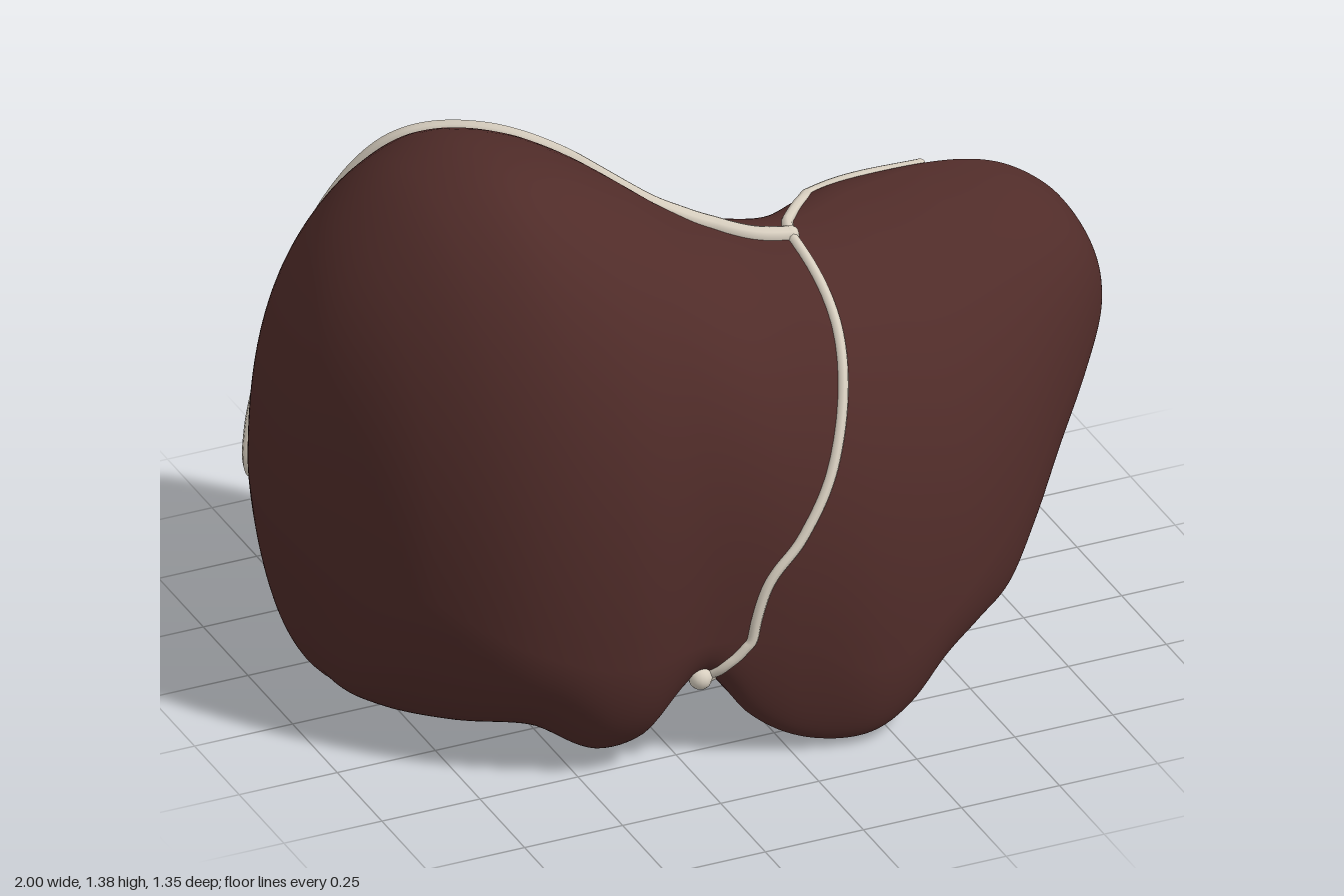
import * as THREE from 'three';
import { mergeVertices } from 'three/addons/utils/BufferGeometryUtils.js';

// Guide rails [x, y, z]: the outermost line of the body on each of its four sides
const bottom = [[-1, .55, -.1], [-.95, .25, -.1], [-.88, .06, -.09], [-.8, .01, -.06], [-.7, .03, .1],
  [-.57, .08, .32], [-.43, .03, .43], [-.35, .06, .47], [-.2, .23, .54], [-.1, .11, .57], [.1, .015, .61],
  [.2, .02, .62], [.3, .06, .595], [.4, .14, .555], [.5, .195, .525], [.6, .24, .48], [.7, .34, .4], [.8, .47, .315],
  [.9, .59, .23], [1, .78, .11]];
const front = [[-1, .55, -.1], [-.95, .5, .1], [-.8, .45, .35], [-.6, .35, .52], [-.4, .3, .59], [-.2, .33, .6],
  [0, .3, .64], [.2, .2, .67], [.4, .3, .63], [.6, .42, .525], [.8, .62, .37], [.9, .7, .28], [1, .78, .11]];
const top = [[-1, .55, -.1], [-.95, .95, -.1], [-.8, 1.22, -.08], [-.65, 1.34, -.03], [-.5, 1.38, .02], [-.35, 1.35, .04],
  [-.2, 1.27, .05], [0, 1.14, .08], [.2, 1.1, .1], [.4, 1.1, .03], [.6, 1.1, -.01], [.8, 1.07, 0], [.9, 1.01, .03], [1, .78, .11]];
const back = [[-1, .55, -.1], [-.95, .5, -.36], [-.9, .47, -.46], [-.8, .48, -.57], [-.65, .59, -.645], [-.52, .68, -.675],
  [-.4, .71, -.64], [-.3, .72, -.57], [-.22, .72, -.45], [-.17, .72, -.27], [-.1, .74, -.08], [0, .72, -.13],
  [.07, .72, -.155], [.18, .8, -.1], [.28, .95, -.09], [.6, 1.05, -.06], [.8, 1.04, -.02], [.9, .97, .01], [1, .78, .11]];
// Middle line of the underside, halfway from the back to the lower edge
const under = [[-1, .55, -.1], [-.95, .32, -.29], [-.9, .19, -.37], [-.8, .14, -.435], [-.65, .18, -.41], [-.5, .26, -.34],
  [-.35, .32, -.25], [-.22, .34, -.1], [-.1, .37, .08], [.03, .41, .15], [.2, .42, .2], [.4, .52, .2],
  [.6, .61, .19], [.8, .75, .15], [.9, .77, .125], [1, .78, .11]];

const angle = x => Math.acos(THREE.MathUtils.clamp(-x, -1, 1));

// Smooth cubic through a rail; working in angle keeps both tips round
function along(rail, x, c) {
  const n = rail.length, u = angle(x), U = i => angle(rail[i][0]);
  let i = 0;
  while (i < n - 2 && u > U(i + 1)) i++;
  const d = j => (rail[j + 1][c] - rail[j][c]) / (U(j + 1) - U(j));
  const slope = j => {
    if (j === 0) return d(0);
    if (j === n - 1) return d(n - 2);
    const h0 = U(j) - U(j - 1), h1 = U(j + 1) - U(j);
    return (d(j - 1) * h1 + d(j) * h0) / (h0 + h1);
  };
  const h = U(i + 1) - U(i), t = (u - U(i)) / h, t2 = t * t, t3 = t2 * t;
  return (2 * t3 - 3 * t2 + 1) * rail[i][c] + (t3 - 2 * t2 + t) * h * slope(i)
    + (3 * t2 - 2 * t3) * rail[i + 1][c] + (t3 - t2) * h * slope(i + 1);
}

// Cross-section at x: four Bezier quarters, s = 0 bottom, 1 front, 2 top, 3 back, 4 bottom
function section(x) {
  const p = [bottom, front, top, back].map(r => [along(r, x, 1), along(r, x, 2)]);
  const mid = [along(under, x, 1), along(under, x, 2)];
  // the back edge is round on the big lobe and sharper on the thin one
  const round = THREE.MathUtils.lerp(.42, .16, THREE.MathUtils.smoothstep(x, 0, .5));
  const fullness = [.55, .6, .58, round];
  return s => {
    const q = Math.floor(s) % 4, t = s - Math.floor(s), w = 1 - t, a = p[q], b = p[(q + 1) % 4];
    const f = fullness[q];
    const at = c => {
      // level tangent at top and bottom, upright at front and back
      const moves = c === (q % 2 === 0 ? 1 : 0);
      const m1 = moves ? a[c] + (b[c] - a[c]) * f : a[c];
      // the underside passes through its middle line
      const m2 = q === 3 ? (mid[c] - .125 * (a[c] + b[c])) / .375 - m1
        : moves ? b[c] : b[c] - (b[c] - a[c]) * f;
      return w * w * w * a[c] + 3 * w * w * t * m1 + 3 * w * t * t * m2 + t * t * t * b[c];
    };
    return new THREE.Vector3(x, at(0), at(1));
  };
}

function bodyGeometry(nx = 180, ns = 96) {
  const pos = [], index = [];
  for (let i = 0; i <= nx; i++) {
    const ring = section(-Math.cos(Math.PI * i / nx));
    for (let j = 0; j < ns; j++) pos.push(...ring(4 * j / ns).toArray());
  }
  for (let i = 0; i < nx; i++) for (let j = 0; j < ns; j++) {
    const k = (j + 1) % ns, a = i * ns + j, b = a + ns, c = (i + 1) * ns + k, d = i * ns + k;
    index.push(a, b, c, a, c, d);
  }
  const g = new THREE.BufferGeometry();
  g.setAttribute('position', new THREE.Float32BufferAttribute(pos, 3));
  g.setIndex(index);
  const merged = mergeVertices(g, 1e-5);
  merged.computeVertexNormals();
  return merged;
}

// A cord lying on the body, through points given as [x, s]
function cord(name, points, radius, material, closed = false) {
  const path = new THREE.CatmullRomCurve3(points.map(([x, s]) => new THREE.Vector3(x, s, 0)), closed);
  const n = 40, line = [];
  for (let i = 0; i < n + (closed ? 0 : 1); i++) {
    const p = path.getPoint(i / n);
    line.push(section(p.x)(p.y));
  }
  const group = new THREE.Group();
  group.name = name;
  const curve = new THREE.CatmullRomCurve3(line, closed);
  group.add(new THREE.Mesh(new THREE.TubeGeometry(curve, 120, radius, 8, closed), material));
  // rounded ends
  if (!closed) for (const p of [line[0], line[n]]) {
    const end = new THREE.Mesh(new THREE.SphereGeometry(radius, 10, 8), material);
    end.position.copy(p);
    group.add(end);
  }
  group.children.forEach(m => { m.name = name; });
  return group;
}

export function createModel() {
  const model = new THREE.Group();
  model.name = 'liver';
  const flesh = new THREE.MeshStandardMaterial({ color: 0x502c29 });
  const pale = new THREE.MeshStandardMaterial({ color: 0xd8cfc0 });

  const body = new THREE.Mesh(bodyGeometry(), flesh);
  body.name = 'liverBody';
  model.add(body);

  // Bands over the top, down the front and across the underside
  model.add(
    cord('coronaryLigament', [[.2, 1.95], [.1, 1.97], [0, 2.03], [-.1, 2.16], [-.25, 2.27], [-.4, 2.36], [-.55, 2.45],
      [-.7, 2.66], [-.8, 2.85], [-.88, 2.98], [-.88, 3.12], [-.8, 3.2]], .022, pale),
    cord('undersideLigament', [[-.8, 3.2], [-.68, 3.29], [-.52, 3.36], [-.36, 3.41], [-.24, 3.48], [-.1, 3.5], [.04, 3.5]], .016, pale),
    cord('fissureLigament', [[.04, 3.5], [.15, 3.42], [.22, 3.25], [.28, 3.08], [.34, 2.9]], .021, pale),
    cord('leftTriangularLigament', [[.2, 1.95], [.3, 2.3], [.38, 2.65], [.5, 2.6], [.62, 2.55]], .014, pale),
    cord('falciformLigament', [[.2, 1.95], [.2, 1.63], [.12, 1.37], [.02, 1.2], [-.08, 1.08], [-.15, .8], [-.2, .2]], .013, pale),
    cord('roundLigament', [[-.2, 4.1], [-.17, 3.95], [-.09, 3.75], [-.02, 3.6], [.04, 3.5]], .018, pale),
    cord('gallbladderRim', [[0, 3.55], [-.17, 3.66], [-.3, 3.7], [-.34, 3.66], [-.25, 3.59], [-.1, 3.52]], .015, pale, true));

  // Loose knob where the front band meets the lower edge
  const knob = new THREE.Mesh(new THREE.SphereGeometry(.028, 14, 10), pale);
  knob.name = 'ligamentKnob';
  knob.position.set(-.22, .23, .57);
  model.add(knob);
  return model;
}
